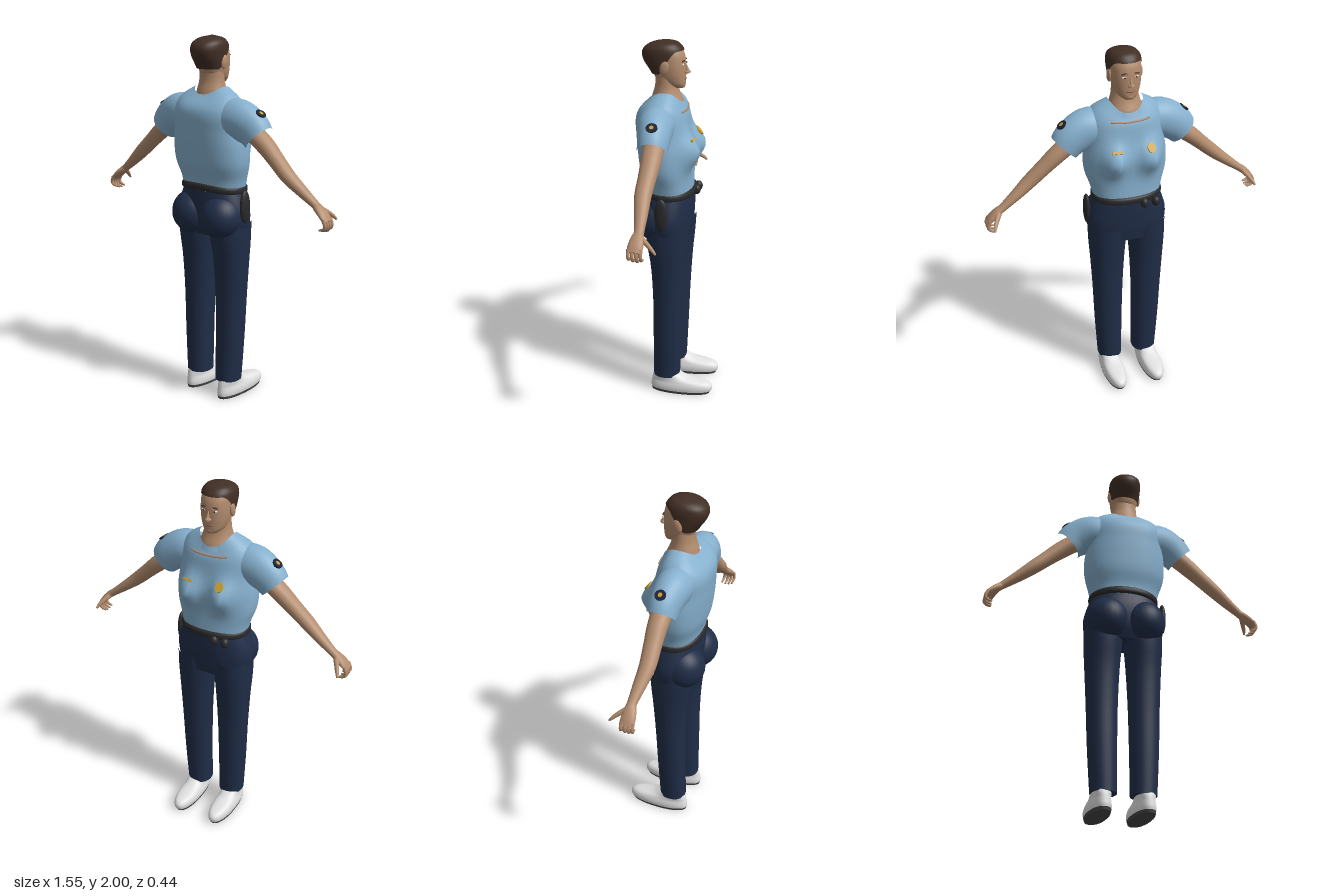
import * as THREE from 'three';

const V = (x, y, z) => new THREE.Vector3(x, y, z);
const mat = (name, color) => {
  const m = new THREE.MeshStandardMaterial({ color });
  m.name = name;
  return m;
};
const SEG = 40;

// Skin a surface over a list of closed rings, with optional flat caps.
function loft(rings, capStart = false, capEnd = false) {
  const n = rings[0].length, pos = [], idx = [];
  rings.forEach(r => r.forEach(p => pos.push(p.x, p.y, p.z)));
  for (let i = 0; i < rings.length - 1; i++) {
    for (let j = 0; j < n; j++) {
      const a = i * n + j, b = i * n + (j + 1) % n;
      idx.push(a, a + n, b, b, a + n, b + n);
    }
  }
  const cap = (ring, flip) => {
    const base = pos.length / 3, c = V(0, 0, 0);
    ring.forEach(p => { pos.push(p.x, p.y, p.z); c.addScaledVector(p, 1 / n); });
    pos.push(c.x, c.y, c.z);
    for (let j = 0; j < n; j++) {
      const a = base + j, b = base + (j + 1) % n;
      idx.push(base + n, flip ? a : b, flip ? b : a);
    }
  };
  if (capStart) cap(rings[0], true);
  if (capEnd) cap(rings[rings.length - 1], false);
  const g = new THREE.BufferGeometry();
  g.setAttribute('position', new THREE.Float32BufferAttribute(pos, 3));
  g.setIndex(idx);
  g.computeVertexNormals();
  return g;
}

// Smooth interpolation of table rows whose first entry is the parameter.
function profile(rows) {
  const size = rows[0].length - 1;
  const f = new THREE.CubicInterpolant(rows.map(r => r[0]), rows.flatMap(r => r.slice(1)), size);
  return t => Array.from(f.evaluate(t));
}

// Point on a horizontal cross-section [centre x, half width, front z, back z].
function onRing([cx, hx, zf, zb], y, a, p = 1) {
  const c = Math.cos(a), s = Math.sin(a);
  return V(cx + hx * Math.sign(c) * Math.abs(c) ** p, y,
    (zf + zb) / 2 + (zb - zf) / 2 * Math.sign(s) * Math.abs(s) ** p);
}

function ringsOf(y0, y1, steps, point) {
  return Array.from({ length: steps + 1 }, (_, i) => {
    const y = y0 + (y1 - y0) * i / steps;
    return Array.from({ length: SEG }, (_, j) => point(y, j / SEG * Math.PI * 2));
  });
}

// Upright body from rows [y, cx, hx, front z, back z].
function upright(rows, steps, p = 1, capStart = false, capEnd = false) {
  const f = profile(rows);
  return loft(ringsOf(rows[0][0], rows[rows.length - 1][0], steps, (y, a) => onRing(f(y), y, a, p)), capStart, capEnd);
}

// Limb along rows [x, y, z, radius in the front plane, radius in depth].
function limb(rows, side, steps, seg = 20, capStart = false, capEnd = false) {
  const f = profile(rows.map((r, i) => [i, r[0] * side, ...r.slice(1)]));
  const last = rows.length - 1;
  const rings = Array.from({ length: steps + 1 }, (_, i) => {
    const t = last * i / steps, q = f(t);
    const before = f(Math.max(0, t - 0.05)), after = f(Math.min(last, t + 0.05));
    const d = V(after[0] - before[0], after[1] - before[1], after[2] - before[2]).normalize();
    const e1 = V(0, 0, 1).cross(d).normalize(), e2 = e1.clone().cross(d);
    return Array.from({ length: seg }, (_, j) => {
      const a = j / seg * Math.PI * 2;
      return V(q[0], q[1], q[2]).addScaledVector(e1, Math.cos(a) * q[3]).addScaledVector(e2, Math.sin(a) * q[4]);
    });
  });
  return loft(rings, capStart, capEnd);
}

const smooth = THREE.MathUtils.smoothstep;

// Shirt body surface with chest bulges and a scooped neckline.
const torsoProfile = profile([
  [1.19, 0, .184, -.085, .165], [1.25, 0, .197, -.082, .172], [1.33, 0, .222, -.078, .195],
  [1.42, 0, .227, -.073, .207], [1.52, 0, .216, -.065, .215], [1.6, 0, .214, -.058, .217],
  [1.66, 0, .195, -.048, .2], [1.7, 0, .16, -.04, .178], [1.74, 0, .092, -.03, .142]]);
function torsoPoint(y, a) {
  const p = onRing(torsoProfile(y), y, a, 0.87);
  const s = Math.sin(a);
  if (s < 0) {
    for (const x of [-.1, .1]) {
      p.z -= .075 * Math.exp(-(((p.x - x) / .062) ** 2) - ((y - 1.435) / .085) ** 2);
    }
  }
  p.y -= smooth(y, 1.6, 1.74) * s * s * (s < 0 ? .06 : .04);
  return p;
}

export function createModel() {
  const root = new THREE.Group();
  const shirt = mat('shirt blue', 0x86b0ce), navy = mat('trouser navy', 0x202d47);
  const skin = mat('skin', 0xb38c6e), hair = mat('hair brown', 0x412f25);
  const black = mat('belt black', 0x2a2a2c), white = mat('shoe white', 0xe2e2e2);
  const grey = mat('sole grey', 0x48484a), gold = mat('badge gold', 0xc99e2e);
  const lip = mat('lip', 0x95604f), patchBlue = mat('patch navy', 0x182033);

  const add = (name, geo, m, pos, scale) => {
    const mesh = new THREE.Mesh(geo, m);
    mesh.name = name;
    if (pos) mesh.position.set(...pos);
    if (scale) mesh.scale.set(...scale);
    root.add(mesh);
    return mesh;
  };
  const ball = new THREE.SphereGeometry(1, 28, 20);
  const disc = new THREE.CylinderGeometry(1, 1, 1, 24).rotateX(Math.PI / 2);
  // Thin plate turned to face along a surface normal.
  const plate = (name, geo, m, p, normal, scale) => {
    const mesh = add(name, geo, m, p.toArray(), scale);
    mesh.lookAt(p.clone().add(normal));
  };

  // Shirt, collar and the open gap under it
  add('shirtBody', loft(ringsOf(1.19, 1.74, 36, torsoPoint)), shirt);
  const collar = add('collar', loft([0, 1, 2].map(i => Array.from({ length: SEG }, (_, j) => {
    const a = j / SEG * Math.PI * 2, s = Math.sin(a);
    const p = onRing([0, .1 - i * .007, -.045 + i * .006, .145 - i * .006], 0, a);
    p.y = 1.685 + i * .014 - (s < 0 ? .03 : .018) * s * s;
    return p;
  }))), shirt.clone());
  collar.material = shirt;
  const gap = Array.from({ length: 9 }, (_, i) => torsoPoint(1.665, -Math.PI / 2 + (i - 4) * .13));
  add('neckGap', new THREE.TubeGeometry(new THREE.CatmullRomCurve3(gap), 24, .006, 6), skin);

  // Chest badge and name plate
  for (const side of [-1, 1]) {
    const a = -Math.PI / 2 + side * .387, y = 1.5, p = torsoPoint(y, a);
    const up = torsoPoint(y + .01, a).sub(p), along = torsoPoint(y, a + .02).sub(p);
    const n = up.cross(along).normalize();
    if (side < 0) plate('chestBadge', disc, gold, p, n, [.021, .028, .009]);
    else plate('namePlate', new THREE.BoxGeometry(.055, .013, .009), gold, p, n);
  }

  // Trousers
  add('hips', upright([[.94, 0, .2, -.07, .135], [1, 0, .219, -.08, .16], [1.06, 0, .224, -.085, .172],
    [1.12, 0, .21, -.088, .175], [1.19, 0, .184, -.088, .168]], 16, 0.9, true), navy);
  // Belt, with its raised back
  const belt = profile([[0, 1.176, .182, -.085, .168], [1, 1.184, .194, -.097, .18],
    [2, 1.207, .194, -.097, .18], [3, 1.217, .182, -.085, .168]]);
  add('belt', loft(ringsOf(0, 3, 9, (t, a) => {
    const [y, hx, zf, zb] = belt(t);
    return onRing([0, hx, zf, zb], y + (Math.sin(a) > 0 ? .015 * Math.sin(a) ** 2 : 0), a, 0.9);
  })), black);
  add('holster', ball, black, [.222, 1.115, .05], [.019, .09, .036]);
  for (const x of [-.06, -.125]) add('beltPouch', ball, black, [x, 1.173, -.09], [.022, .028, .024]);

  for (const side of [-1, 1]) {
    const s = side;
    add('buttock', ball, navy, [s * .102, 1.05, .1], [.116, .122, .12]);
    // Rows give height, inner x, outer x, front z, back z
    const leg = [[.1, .037, .175, -.03, .12], [.35, .035, .19, -.04, .118], [.6, .03, .2, -.05, .118],
      [.8, .02, .21, -.063, .13], [.92, .01, .216, -.075, .15], [1.02, 0, .216, -.082, .16]];
    add('trouserLeg', upright(leg.map(([y, i, o, f, b]) => [y, s * (i + o) / 2, (o - i) / 2, f, b]), 18, 0.92, true), navy);

    // Shoes
    const cx = s * .116;
    add('shoe', upright([[.014, cx, .058, -.214, .133], [.03, cx, .061, -.22, .135], [.052, cx, .06, -.215, .132],
      [.07, cx, .055, -.185, .129], [.084, cx, .052, -.1, .126], [.115, cx, .054, -.025, .115]], 14, 0.9), white);
    add('sole', upright([[0, cx, .055, -.205, .13], [.016, cx, .059, -.215, .134]], 1, 0.9, true), grey);

    // Sleeves and shoulder patches
    add('sleeve', limb([[.11, 1.575, .085, .1, .095], [.2, 1.583, .08, .106, .095],
      [.28, 1.545, .072, .1, .084], [.33, 1.495, .07, .086, .076]], s, 14, 32), shirt);
    const n = V(s * .58, .81, 0), p = V(s * .337, 1.623, .069);
    plate('shoulderPatch', disc, patchBlue, p, n, [.029, .028, .0095]);
    plate('patchEmblem', disc, gold, p.clone().addScaledVector(n, .004), n, [.011, .012, .006]);

    // Arms and hands
    add('arm', limb([[.24, 1.555, .07, .05, .058], [.36, 1.47, .066, .047, .053], [.44, 1.4, .07, .041, .047],
      [.52, 1.328, .075, .037, .043], [.6, 1.264, .066, .029, .034], [.675, 1.208, .058, .021, .025],
      [.7, 1.19, .058, .021, .028]], s, 24), skin);
    add('palm', limb([[.685, 1.2, .058, .02, .025], [.71, 1.182, .06, .02, .034],
      [.74, 1.156, .063, .017, .039], [.763, 1.132, .064, .011, .036]], s, 8, 16, true, true), skin);
    for (let i = 0; i < 4; i++) {
      const z = .034 + i * .02, tip = 1.078 + Math.abs(i - 1.3) * .006;
      add('finger', limb([[.752, 1.148, z, .01, .01], [.766, 1.115, z, .009, .009],
        [.755, tip + .008, z - .002, .008, .008], [.728, tip, z - .004, .005, .005]], s, 9, 8, true, true), skin);
    }
    add('thumb', limb([[.702, 1.185, .045, .016, .016], [.722, 1.163, .008, .013, .012],
      [.738, 1.14, -.02, .01, .009], [.745, 1.123, -.036, .005, .005]], s, 8, 10, true, true), skin);

    // Ears, eyes and brows
    add('ear', ball, skin, [s * .083, 1.868, .058], [.012, .038, .023]).rotation.x = -.2;
    add('eyeWhite', ball, white, [s * .031, 1.879, -.032], [.013, .006, .008]);
    add('iris', ball, hair, [s * .031, 1.879, -.038], [.005, .005, .004]);
    add('brow', ball, hair, [s * .032, 1.898, -.033], [.018, .0035, .007]).rotation.z = -s * .1;
    add('nostril', ball, skin, [s * .009, 1.836, -.047], [.008, .008, .012]);
  }

  // Neck and head
  add('neck', upright([[1.62, 0, .1, -.03, .15], [1.68, 0, .094, -.03, .142], [1.72, 0, .083, -.012, .134],
    [1.76, 0, .073, .0, .122], [1.84, 0, .07, .0, .118]], 14), skin);
  add('head', upright([[1.755, 0, .028, -.034, .04], [1.77, 0, .05, -.038, .08], [1.8, 0, .067, -.04, .115],
    [1.85, 0, .078, -.041, .135], [1.9, 0, .081, -.039, .15], [1.94, 0, .078, -.028, .15],
    [1.97, 0, .06, -.005, .125], [1.985, 0, .03, .03, .08]], 24, 0.92, true, true), skin);
  const bridge = add('nose', new THREE.ConeGeometry(.014, .055, 12), skin, [0, 1.858, -.046], [.85, 1, 1.1]);
  bridge.rotation.x = .2;
  add('noseTip', ball, skin, [0, 1.839, -.053], [.01, .009, .013]);
  add('mouth', ball, lip, [0, 1.802, -.037], [.022, .006, .007]);
  add('chin', ball, skin, [0, 1.772, -.022], [.026, .016, .018]);

  // Hair cap: the hairline rises from the nape to the forehead
  const hairProfile = profile([[1.8, 0, .076, -.03, .125], [1.84, 0, .084, -.042, .145], [1.9, 0, .088, -.044, .183],
    [1.94, 0, .088, -.035, .188], [1.97, 0, .079, -.018, .166], [1.99, 0, .052, .01, .12], [2, 0, .008, .05, .066]]);
  add('hair', loft(ringsOf(0, 1, 24, (t, a) => {
    const low = 1.83 + .12 * smooth(-Math.sin(a), -.5, .8);
    const y = low + (2 - low) * (1 - (1 - t) ** 1.6);
    return onRing(hairProfile(y), y, a, 0.92);
  }), false, true), hair);

  return root;
}
